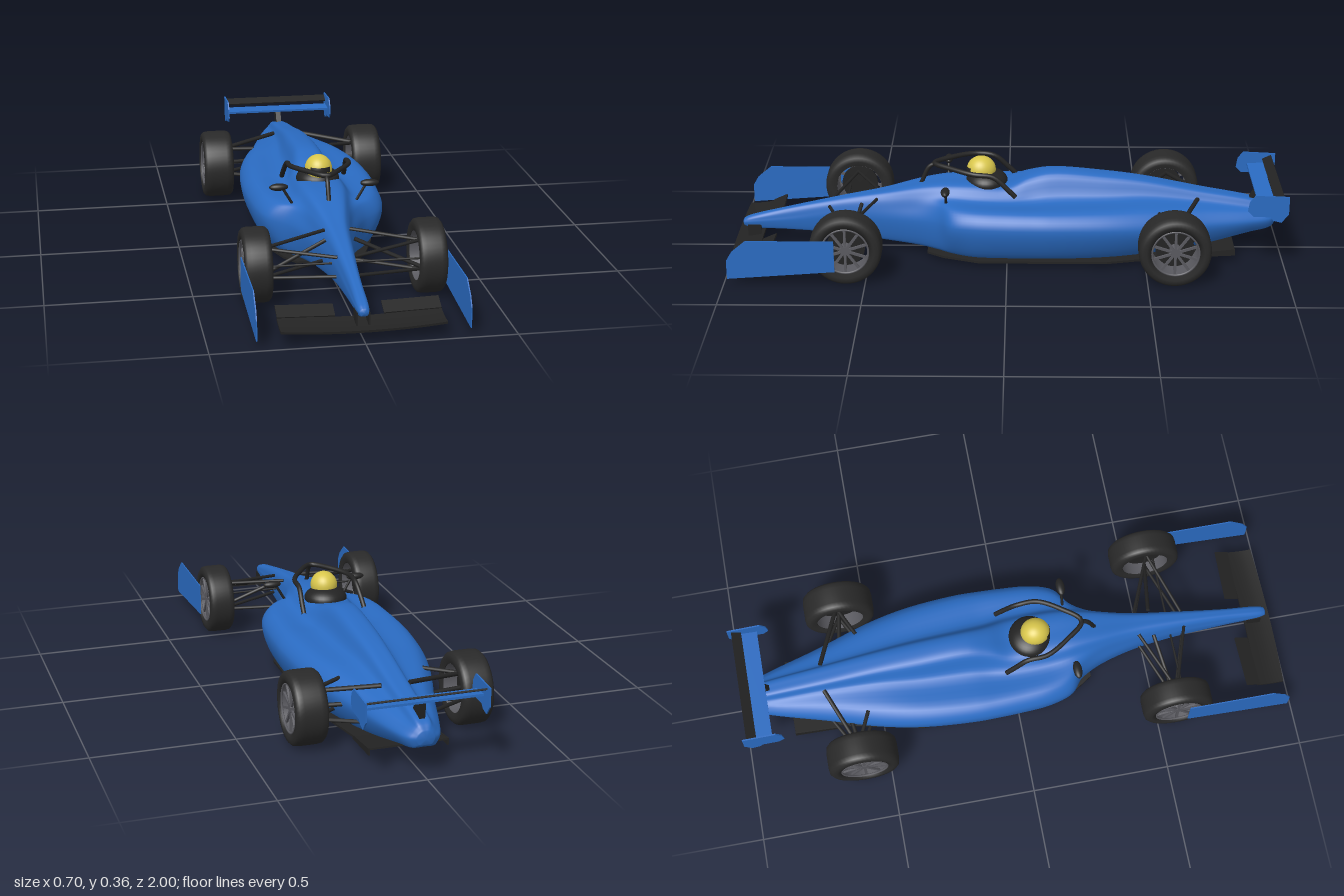
import * as THREE from 'three';

const mat = (name, color, side = THREE.FrontSide) => {
  const m = new THREE.MeshStandardMaterial({ color, side });
  m.name = name;
  return m;
};
const paint = mat('blue paint', 0x2a6bc2);
const carbon = mat('carbon black', 0x232323);
const rubber = mat('tyre rubber', 0x292929);
const metal = mat('rim grey', 0x5a5a60, THREE.DoubleSide);
const yellow = mat('helmet yellow', 0xd8c64c);

const V = (x, y, z) => new THREE.Vector3(x, y, z);

function add(parent, name, geometry, material, x = 0, y = 0, z = 0) {
  const m = new THREE.Mesh(geometry, material);
  m.name = name;
  m.position.set(x, y, z);
  parent.add(m);
  return m;
}

// Round bar between two points
function bar(parent, name, a, b, r, flat = 1) {
  const d = b.clone().sub(a);
  const g = new THREE.CylinderGeometry(r, r, d.length(), 8);
  const m = add(parent, name, g, carbon);
  m.position.copy(a).add(b).multiplyScalar(0.5);
  m.quaternion.setFromUnitVectors(V(0, 1, 0), d.normalize());
  m.scale.z = flat;
  return m;
}

const plate = (points, depth) => new THREE.ExtrudeGeometry(
  new THREE.Shape(points.map(([a, b]) => new THREE.Vector2(a, b))), { depth, bevelEnabled: false });
// Upright plate from (z, y) points, and flat plate from (x, z) points
const sidePlate = (points, t) => plate(points, t).translate(0, 0, -t / 2).rotateY(-Math.PI / 2);
const flatPlate = (points, t) => plate(points, t).translate(0, 0, -t / 2).rotateX(Math.PI / 2);

// z, top, ridge x, valley x, valley y, shoulder x, shoulder y, side x, side y, floor x, bottom
const noseAndPods = [
  [0.97, .108, .006, .010, .105, .014, .100, .015, .095, .010, .084],
  [0.95, .118, .009, .016, .112, .019, .105, .020, .098, .014, .078],
  [0.80, .155, .012, .020, .143, .024, .125, .026, .110, .020, .072],
  [0.60, .198, .018, .030, .185, .037, .160, .040, .130, .030, .060],
  [0.45, .226, .030, .045, .205, .055, .175, .062, .130, .045, .042],
  [0.32, .256, .050, .070, .225, .085, .190, .100, .140, .080, .034],
  [0.25, .268, .060, .088, .230, .118, .205, .140, .150, .115, .030],
  [0.20, .272, .066, .102, .230, .168, .212, .203, .160, .150, .030],
  [0.12, .272, .070, .110, .225, .195, .215, .230, .165, .185, .030],
];
const engineCover = [
  [0.00, .266, .066, .110, .220, .205, .215, .241, .165, .195, .030],
  [-0.08, .296, .050, .098, .220, .208, .215, .244, .165, .197, .030],
  [-0.16, .312, .043, .090, .225, .208, .215, .245, .165, .197, .030],
  [-0.35, .298, .040, .080, .225, .190, .212, .230, .160, .180, .030],
  [-0.50, .278, .035, .065, .225, .160, .205, .200, .150, .150, .034],
  [-0.70, .238, .030, .050, .205, .105, .185, .137, .140, .100, .050],
  [-0.88, .205, .025, .040, .180, .065, .165, .085, .135, .060, .085],
  [-0.96, .182, .020, .030, .170, .042, .155, .055, .135, .040, .100],
  [-0.98, .160, .010, .018, .155, .025, .148, .030, .135, .020, .115],
];

// Body shell lofted through the sections
function bodyGeometry() {
  const rings = [...noseAndPods, ...engineCover].map(([z, top, rx, vx, vy, sx, sy, w, wy, bw, bot]) => {
    const half = [[rx, top - (top - vy) * 0.12], [vx, vy], [sx, sy], [w, wy], [bw + (w - bw) * 0.15, bot + (wy - bot) * 0.14], [bw * 0.85, bot]];
    return [[0, top], ...half, [0, bot], ...half.slice().reverse().map(([x, y]) => [-x, y])].map(([x, y]) => V(x, y, z));
  });
  const rails = rings[0].map((_, k) => new THREE.CatmullRomCurve3(rings.map(r => r[k])));
  const rows = 90, cols = 84, pos = [], idx = [];
  for (let i = 0; i <= rows; i++) {
    const ring = new THREE.CatmullRomCurve3(rails.map(c => c.getPoint(i / rows)), true);
    for (let j = 0; j < cols; j++) pos.push(...ring.getPoint(j / cols).toArray());
  }
  for (let i = 0; i < rows; i++) for (let j = 0; j < cols; j++) {
    const k = (j + 1) % cols, a = i * cols + j, b = i * cols + k;
    idx.push(a, b, a + cols, b, b + cols, a + cols);
  }
  // Nose and tail caps
  const n = (rows + 1) * cols;
  pos.push(0, .096, .975, 0, .137, -.985);
  for (let j = 0; j < cols; j++) {
    const k = (j + 1) % cols;
    idx.push(n, k, j, n + 1, rows * cols + j, rows * cols + k);
  }
  const g = new THREE.BufferGeometry();
  g.setAttribute('position', new THREE.Float32BufferAttribute(pos, 3));
  g.setIndex(idx);
  g.computeVertexNormals();
  return g;
}

// Wheel with its axle on local y, outer face at +y
function wheel(name, h) {
  const g = new THREE.Group();
  g.name = name;
  const side = [[.1285, .5], [.126, .8], [.117, .96], [.102, 1], [.086, .9]];
  const profile = [...side.slice().reverse().map(([r, y]) => [r, -y]), ...side, [.086, -.9]];
  add(g, 'tyre', new THREE.LatheGeometry(profile.map(([r, y]) => new THREE.Vector2(r, y * h)), 48), rubber);
  add(g, 'rimBarrel', new THREE.CylinderGeometry(.085, .085, h * 1.75, 40, 1, true), metal);
  add(g, 'rimLip', new THREE.TorusGeometry(.083, .004, 8, 40).rotateX(Math.PI / 2), metal, 0, h * 0.86, 0);
  add(g, 'brakeDisc', new THREE.CylinderGeometry(.068, .068, .012, 32), carbon);
  add(g, 'hub', new THREE.CylinderGeometry(.016, .02, h * 0.8, 20), metal, 0, h * 0.4, 0);
  for (let i = 0; i < 10; i++) {
    const s = add(g, 'spoke', new THREE.BoxGeometry(.07, .007, .009).translate(.049, 0, 0), metal, 0, h * 0.72, 0);
    s.rotation.y = i * Math.PI / 5;
  }
  return g;
}

// Wing plane swept back and raised towards its tips
function wingGeometry(width, thick, chord, sweep, rise) {
  const g = new THREE.BoxGeometry(width, thick, chord, 16, 1, 4), p = g.attributes.position;
  for (let i = 0; i < p.count; i++) {
    const x = p.getX(i), z = p.getZ(i);
    p.setZ(i, z - sweep * x * x);
    p.setY(i, p.getY(i) + rise * x * x + z * z * 2);
  }
  g.computeVertexNormals();
  return g;
}

export function createModel() {
  const car = new THREE.Group();
  car.name = 'racingCar';
  add(car, 'bodyShell', bodyGeometry(), paint);

  // Floor and diffuser
  const edge = [[.11, .29], [.15, .23], [.195, .1], [.195, -.36], [.135, -.64], [.11, -.7]];
  add(car, 'floor', flatPlate([...edge, ...edge.slice().reverse().map(([x, z]) => [-x, z])], .008), carbon, 0, .023, 0);
  const diffuser = add(car, 'diffuser', new THREE.BoxGeometry(.28, .006, .15), carbon, 0, .042, -.75);
  diffuser.rotation.x = 0.12;

  // Driver
  add(car, 'cockpitCollar', new THREE.SphereGeometry(1, 32, 20).scale(.078, .042, .076), carbon, 0, .265, .075);
  add(car, 'helmet', new THREE.SphereGeometry(1, 32, 24).scale(.049, .05, .053), yellow, 0, .307, .095);
  add(car, 'visor', new THREE.SphereGeometry(1, 24, 8, Math.PI * 0.25, Math.PI * 0.5, 1.28, 0.38).scale(.0505, .0515, .0545), carbon, 0, .307, .095);

  // Halo
  const arc = [[.115, .245, -.03], [.113, .275, 0], [.108, .318, .05], [.105, .327, .12], [.06, .331, .2]];
  const haloPath = new THREE.CatmullRomCurve3([...arc.map(p => V(...p)), V(0, .331, .265), ...arc.slice().reverse().map(([x, y, z]) => V(-x, y, z))]);
  add(car, 'halo', new THREE.TubeGeometry(haloPath, 60, .009, 10), carbon);
  const post = new THREE.CatmullRomCurve3([V(0, .33, .262), V(0, .315, .285), V(0, .25, .315)]);
  add(car, 'haloPost', new THREE.TubeGeometry(post, 12, .008, 10), carbon);

  // Front wing
  const frontPlane = add(car, 'frontWingPlane', wingGeometry(.54, .008, .1, .15, .1), carbon, 0, .043, .945);
  frontPlane.rotation.x = 0.12;

  // Rear wing
  const rearPlane = add(car, 'rearWingPlane', new THREE.BoxGeometry(.41, .008, .06), paint, 0, .249, -.925);
  rearPlane.rotation.x = 0.06;
  const rearFlap = add(car, 'rearWingFlap', new THREE.BoxGeometry(.41, .006, .036), carbon, 0, .275, -.968);
  rearFlap.rotation.x = 0.45;
  add(car, 'rearWingPylon', sidePlate([[-.87, .18], [-.94, .17], [-.95, .25], [-.91, .25]], .02), carbon);

  for (const s of [1, -1]) {
    const label = s > 0 ? 'left' : 'right';
    const P = (x, y, z) => V(s * x, y, z);

    // Wheels
    for (const [name, x, z, h] of [['FrontWheel', .295, .567, .048], ['RearWheel', .2925, -.593, .0575]]) {
      const w = wheel(label + name, h);
      w.position.set(s * x, .129, z);
      w.rotation.z = -s * Math.PI / 2;
      car.add(w);
    }

    // Front suspension
    bar(car, 'frontUpperArm', P(.27, .185, .57), P(.045, .205, .475), .006);
    bar(car, 'frontUpperArm', P(.27, .185, .57), P(.03, .168, .65), .006);
    bar(car, 'frontPushrod', P(.27, .09, .57), P(.05, .188, .53), .007);
    bar(car, 'frontTieRod', P(.27, .13, .6), P(.03, .13, .6), .004);
    bar(car, 'frontLowerArm', P(.27, .08, .57), P(.045, .098, .48), .006);
    bar(car, 'frontLowerArm', P(.27, .08, .57), P(.03, .1, .65), .006);

    // Rear suspension
    bar(car, 'rearUpperArm', P(.27, .185, -.6), P(.05, .213, -.69), .008);
    bar(car, 'rearUpperArm', P(.27, .185, -.6), P(.15, .198, -.545), .007);
    bar(car, 'rearLowerArm', P(.27, .085, -.6), P(.09, .09, -.7), .007);
    bar(car, 'rearLowerArm', P(.27, .085, -.6), P(.14, .09, -.53), .007);
    bar(car, 'driveShaft', P(.28, .129, -.593), P(.1, .129, -.62), .008);

    // Mirrors
    add(car, 'mirror', new THREE.SphereGeometry(1, 20, 12).scale(.034, .013, .016), carbon, s * .163, .283, .22);
    bar(car, 'mirrorStalk', P(.15, .28, .22), P(.115, .22, .22), .005);

    // Wing flaps, supports and end plates
    const flap = add(car, 'frontWingFlap', new THREE.BoxGeometry(.19, .006, .055), carbon, s * .175, .073, .868);
    flap.rotation.set(0.42, 0, s * 0.04);
    add(car, 'frontWingSupport', new THREE.BoxGeometry(.005, .05, .05), carbon, s * .02, .065, .93);
    add(car, 'frontEndPlate', sidePlate([[.985, .027], [.985, .096], [.965, .13], [.915, .172], [.605, .172], [.605, .055]], .004), paint, s * .347);
    add(car, 'rearEndPlate', sidePlate([[-.855, .235], [-.86, .27], [-.88, .296], [-1, .29], [-1, .225], [-.975, .192], [-.945, .2], [-.935, .213], [-.875, .215]], .005), paint, s * .209);
    add(car, 'diffuserFin', sidePlate([[-.66, .022], [-.825, .03], [-.825, .055], [-.66, .036]], .005), carbon, s * .138);
  }
  return car;
}
